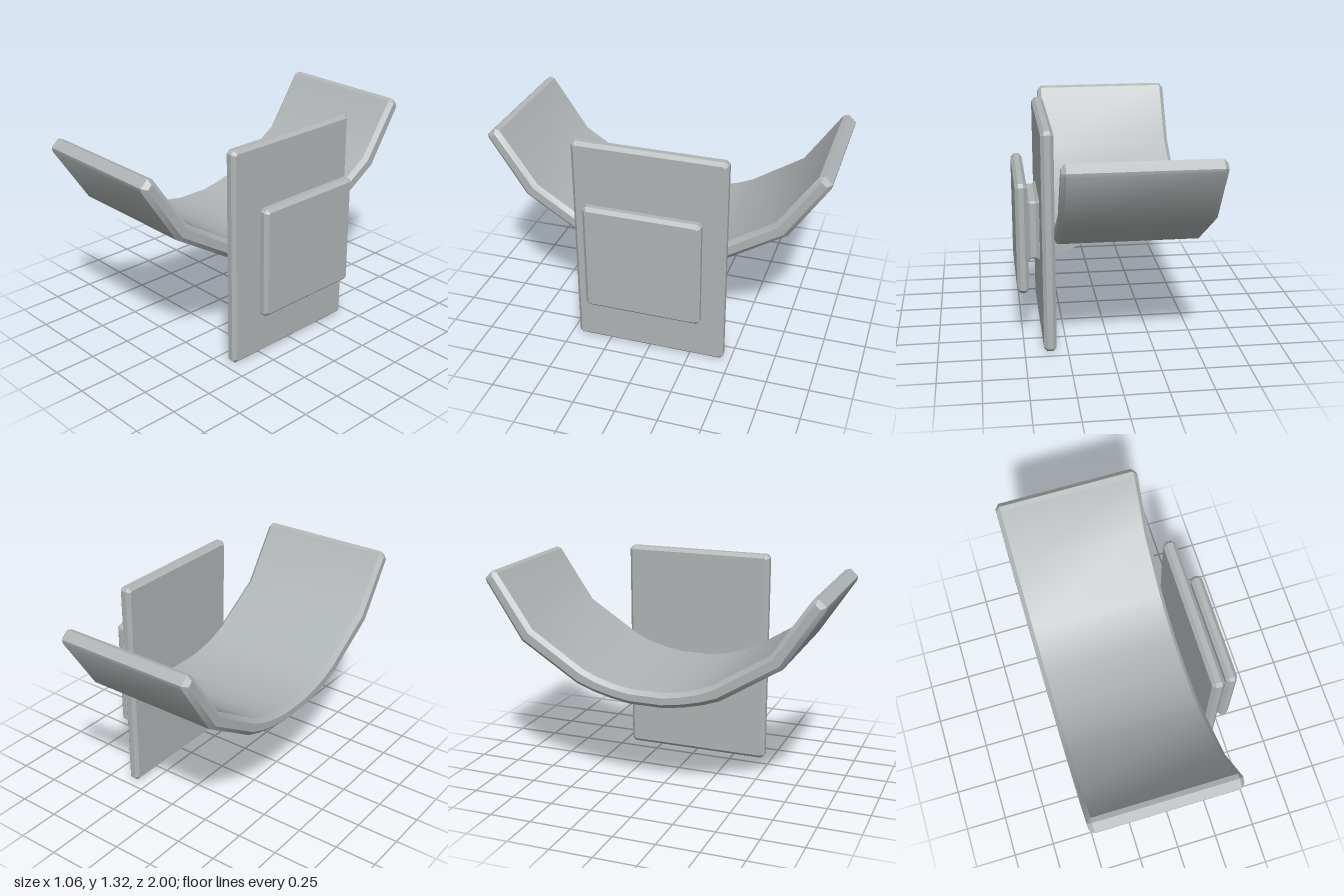
import * as THREE from 'three';
import { toCreasedNormals } from 'three/addons/utils/BufferGeometryUtils.js';

const grey = new THREE.MeshStandardMaterial({ color: 0xb0b5b5 });
grey.name = 'grey';

// Extrudes a (z, y) outline from x0 to x1 with chamfered end edges
function slab(name, points, x0, x1, bevel, crease) {
  const shape = new THREE.Shape(points.map(([z, y]) => new THREE.Vector2(-z, y)));
  const geo = new THREE.ExtrudeGeometry(shape, {
    depth: x1 - x0 - 2 * bevel, bevelEnabled: bevel > 0, bevelThickness: bevel,
    bevelSize: bevel, bevelOffset: -bevel, bevelSegments: 1,
  });
  geo.rotateY(Math.PI / 2);
  geo.translate(x0 + bevel, 0, 0);
  const mesh = new THREE.Mesh(toCreasedNormals(geo, crease), grey);
  mesh.name = name;
  return mesh;
}

// Upright plate with every edge chamfered
function plate(name, x0, x1, y0, y1, w, c) {
  const outline = [
    [-w, y0 + c], [-w + c, y0], [w - c, y0], [w, y0 + c],
    [w, y1 - c], [w - c, y1], [-w + c, y1], [-w, y1 - c],
  ];
  return slab(name, outline, x0, x1, c, 0.3);
}

export function createModel() {
  const model = new THREE.Group();

  // Curved cradle: half outline mirrored across z
  const outer = [[0.1, 0.578], [0.22, 0.597], [0.33, 0.624], [0.43, 0.66], [0.78, 0.88], [0.997, 1.215]];
  const tip = [[1.0, 1.238], [0.955, 1.279], [0.925, 1.27]];
  const inner = [[0.71, 0.953], [0.395, 0.752], [0.3, 0.712], [0.2, 0.685], [0.1, 0.668]];
  const half = [...outer, ...tip, ...inner];
  const mirrored = half.map(([z, y]) => [-z, y]).reverse();
  model.add(slab('cradle', [...half, ...mirrored], -0.53, 0.32, 0.025, 0.55));

  // Wedge bracing the cradle against the back plate
  const brace = new THREE.Shape([[0.0, 0.62], [0.33, 0.481], [0.33, 0.64], [0.0, 0.64]]
    .map(([x, y]) => new THREE.Vector2(x, y)));
  const braceGeo = new THREE.ExtrudeGeometry(brace, { depth: 0.36, bevelEnabled: false });
  braceGeo.translate(0, 0, -0.18);
  const braceMesh = new THREE.Mesh(braceGeo, grey);
  braceMesh.name = 'brace';
  model.add(braceMesh);

  // Mounting plates joined by a short flared stem
  model.add(plate('mainPlate', 0.315, 0.388, 0, 1.315, 0.455, 0.02));
  model.add(plate('stem', 0.36, 0.49, 0.48, 0.835, 0.185, 0.01));
  for (const [name, x] of [['innerFlare', 0.388], ['outerFlare', 0.461]]) {
    model.add(plate(name, x - 0.02, x + 0.02, 0.462, 0.853, 0.203, 0.019));
  }
  model.add(plate('outerPlate', 0.461, 0.53, 0.328, 0.99, 0.345, 0.02));
  return model;
}
